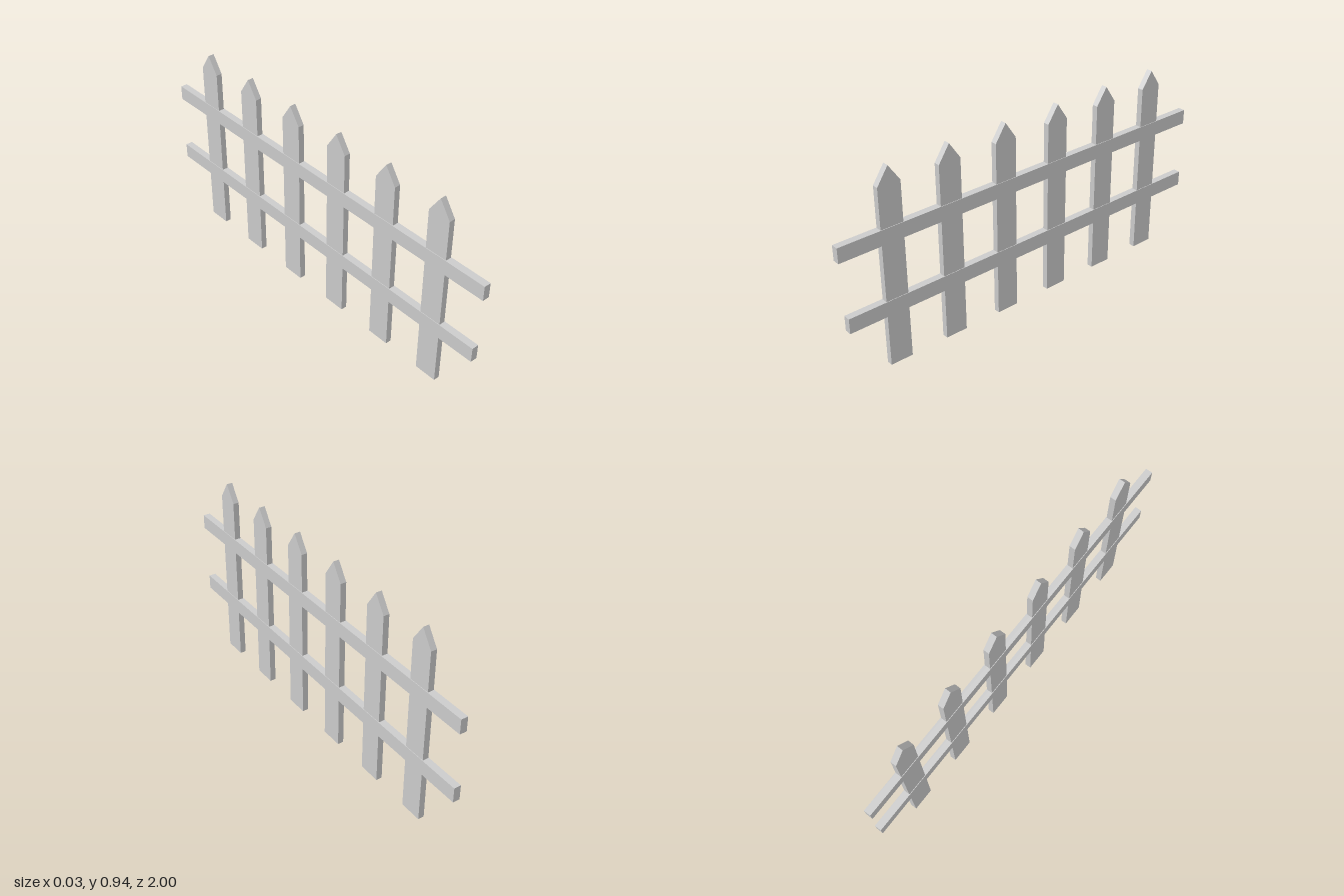
import * as THREE from 'three';

const material = new THREE.MeshStandardMaterial({ color: 0xcccccc, flatShading: true });

// Pointed board, outlined in the z-y plane and extruded across x
function picketGeometry(width, shoulder, height, depth) {
  const w = width / 2;
  const outline = new THREE.Shape([
    new THREE.Vector2(-w, 0),
    new THREE.Vector2(w, 0),
    new THREE.Vector2(w, shoulder),
    new THREE.Vector2(0, height),
    new THREE.Vector2(-w, shoulder),
  ]);
  return new THREE.ExtrudeGeometry(outline, { depth, bevelEnabled: false })
    .translate(0, 0, -depth / 2)
    .rotateY(Math.PI / 2);
}

// Horizontal board running along z
function rail(name, y0, y1, z0, z1) {
  const mesh = new THREE.Mesh(new THREE.BoxGeometry(0.034, y1 - y0, z1 - z0), material);
  mesh.name = name;
  mesh.position.set(0, (y0 + y1) / 2, (z0 + z1) / 2);
  return mesh;
}

export function createModel() {
  const fence = new THREE.Group();
  fence.name = 'picketFence';

  // Six evenly spaced pickets
  const board = picketGeometry(0.11, 0.863, 0.945, 0.029);
  for (let i = 0; i < 6; i++) {
    const picket = new THREE.Mesh(board, material);
    picket.name = `picket${i + 1}`;
    picket.position.z = 0.741 - i * 0.2972;
    fence.add(picket);
  }

  // Rails, slightly thicker than the pickets; the lower one is a little shorter
  fence.add(rail('upperRail', 0.599, 0.671, -1, 1));
  fence.add(rail('lowerRail', 0.253, 0.326, -1, 0.98));

  return fence;
}
